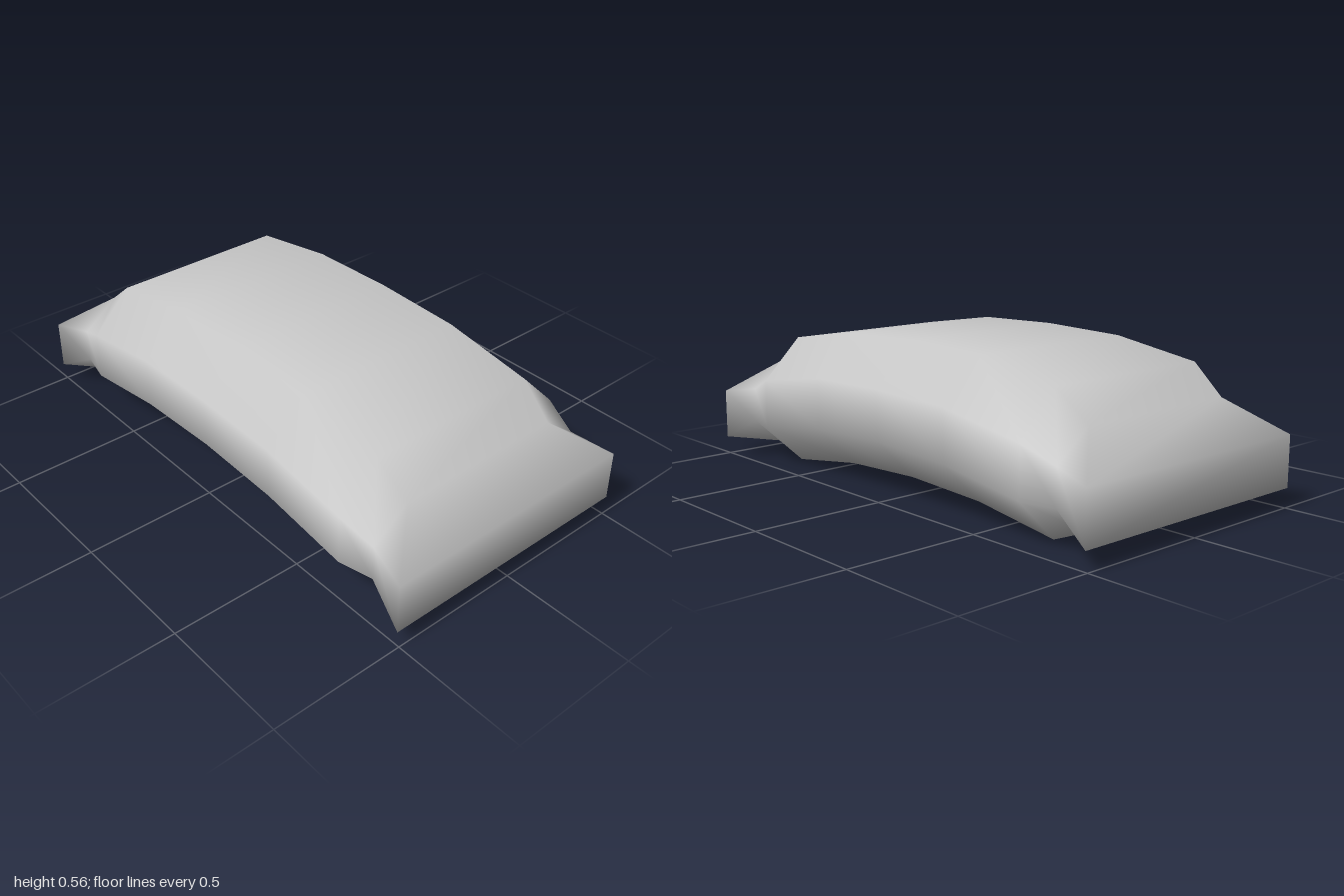
import * as THREE from 'three';
import { mergeVertices } from 'three/addons/utils/BufferGeometryUtils.js';

// Half of the lengthwise sections: z, half width, half flat width,
// bottom, lower side, upper side, top
const HALF = [
  [0, 0.5, 0.345, 0.07, 0.225, 0.41, 0.565],
  [0.355, 0.5, 0.345, 0.055, 0.21, 0.4, 0.555],
  [0.71, 0.5, 0.345, 0.005, 0.16, 0.345, 0.5],
  [0.84, 0.47, 0.33, 0.055, 0.16, 0.29, 0.395],
  [1, 0.51, 0.51, 0.075, 0.075, 0.265, 0.265],
];

// Eight-sided section, counter-clockwise seen from the front
function ring([z, w, f, bottom, low, high, top]) {
  return [
    [w, low], [w, high], [f, top], [-f, top],
    [-w, high], [-w, low], [-f, bottom], [f, bottom],
  ].map(([x, y]) => [x, y, z]);
}

function cushionGeometry() {
  const mirrored = HALF.slice(1).reverse().map(([z, ...rest]) => [-z, ...rest]);
  const sections = [...mirrored, ...HALF];
  const index = [];
  for (let i = 0; i < sections.length - 1; i++) {
    for (let j = 0; j < 8; j++) {
      const k = (j + 1) % 8;
      const a = i * 8 + j, b = i * 8 + k, c = b + 8, d = a + 8;
      index.push(a, b, c, a, c, d);
    }
  }
  // Rectangular end faces
  const e = (sections.length - 1) * 8;
  index.push(e, e + 1, e + 3, e, e + 3, e + 5);
  index.push(0, 3, 1, 0, 5, 3);

  const geometry = new THREE.BufferGeometry();
  const points = sections.flatMap(ring).flat();
  geometry.setAttribute('position', new THREE.Float32BufferAttribute(points, 3));
  geometry.setIndex(index);
  const merged = mergeVertices(geometry); // joins the collapsed end corners
  merged.computeVertexNormals();
  return merged;
}

export function createModel() {
  const grey = new THREE.MeshStandardMaterial({ color: 0xcccccc, side: THREE.DoubleSide });
  grey.name = 'light grey';

  const group = new THREE.Group();
  group.name = 'archedCushion';
  const body = new THREE.Mesh(cushionGeometry(), grey);
  body.name = 'cushionBody';
  group.add(body);
  return group;
}
